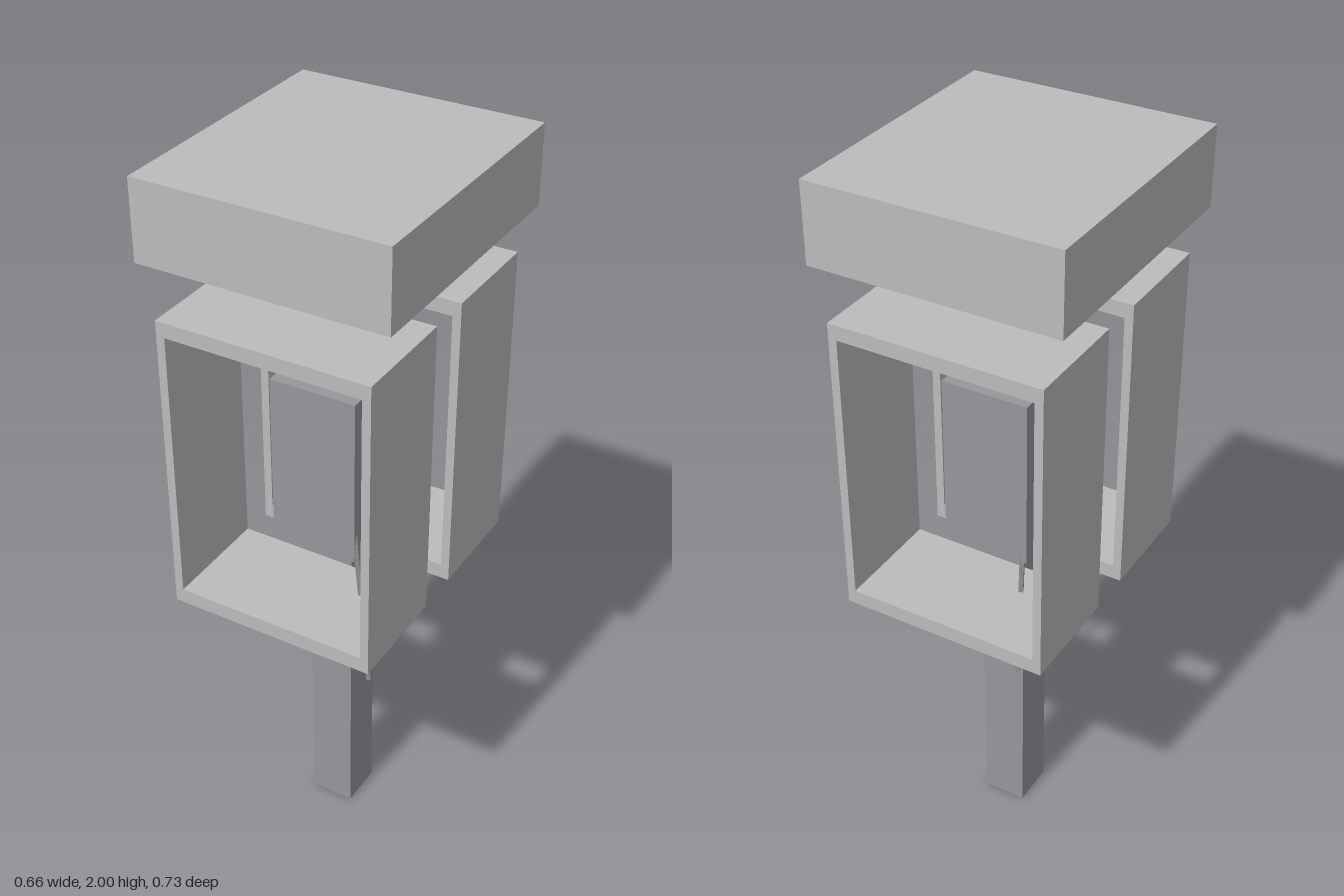
import * as THREE from 'three';

export function createModel() {
  const model = new THREE.Group();
  model.name = 'payphoneStand';
  const lightGrey = new THREE.MeshStandardMaterial({ name: 'lightGrey', color: 0xbcbcbd });
  const steelGrey = new THREE.MeshStandardMaterial({ name: 'steelGrey', color: 0x96979c });
  const cordGrey = new THREE.MeshStandardMaterial({ name: 'cordGrey', color: 0x8c8c86 });

  const add = (name, geometry, material) => {
    const mesh = new THREE.Mesh(geometry, material);
    mesh.name = name;
    model.add(mesh);
    return mesh;
  };
  const box = (name, w, h, d, x, y, z, material) =>
    add(name, new THREE.BoxGeometry(w, h, d), material).position.set(x, y, z);

  // Post and roof block
  box('post', 0.124, 1.79, 0.124, 0, 0.895, 0, steelGrey);
  box('roof', 0.66, 0.21, 0.73, 0, 1.895, 0, lightGrey);

  // Open-ended hood: rectangle with a rectangular hole
  const rect = (target, x, y0, y1) => target
    .moveTo(-x, y0).lineTo(x, y0).lineTo(x, y1).lineTo(-x, y1).closePath();
  const profile = rect(new THREE.Shape(), 0.285, 0.83, 1.655);
  profile.holes.push(rect(new THREE.Path(), 0.262, 0.872, 1.615));
  const hood = new THREE.ExtrudeGeometry(profile, { depth: 0.303, bevelEnabled: false });

  // Straight thin cord between two points
  const cord = (name, from, to) => {
    const dir = to.clone().sub(from);
    const mesh = add(name, new THREE.BoxGeometry(0.012, dir.length(), 0.012), cordGrey);
    mesh.position.copy(from).add(to).multiplyScalar(0.5);
    mesh.quaternion.setFromUnitVectors(new THREE.Vector3(0, 1, 0), dir.normalize());
  };

  // A hood, phone box and cord on each side of the post
  for (const [side, s, topX, tipX] of [['front', 1, 0.112, 0.18], ['back', -1, -0.103, -0.11]]) {
    add(side + 'Hood', hood, lightGrey).position.z = s > 0 ? 0.062 : -0.365;
    box(side + 'PhoneBox', 0.24, 0.47, 0.086, 0, 1.2, s * 0.105, steelGrey);
    cord(side + 'Cord', new THREE.Vector3(topX, 1.05, s * 0.135),
      new THREE.Vector3(tipX, 0.615, s * 0.173));
  }
  return model;
}
